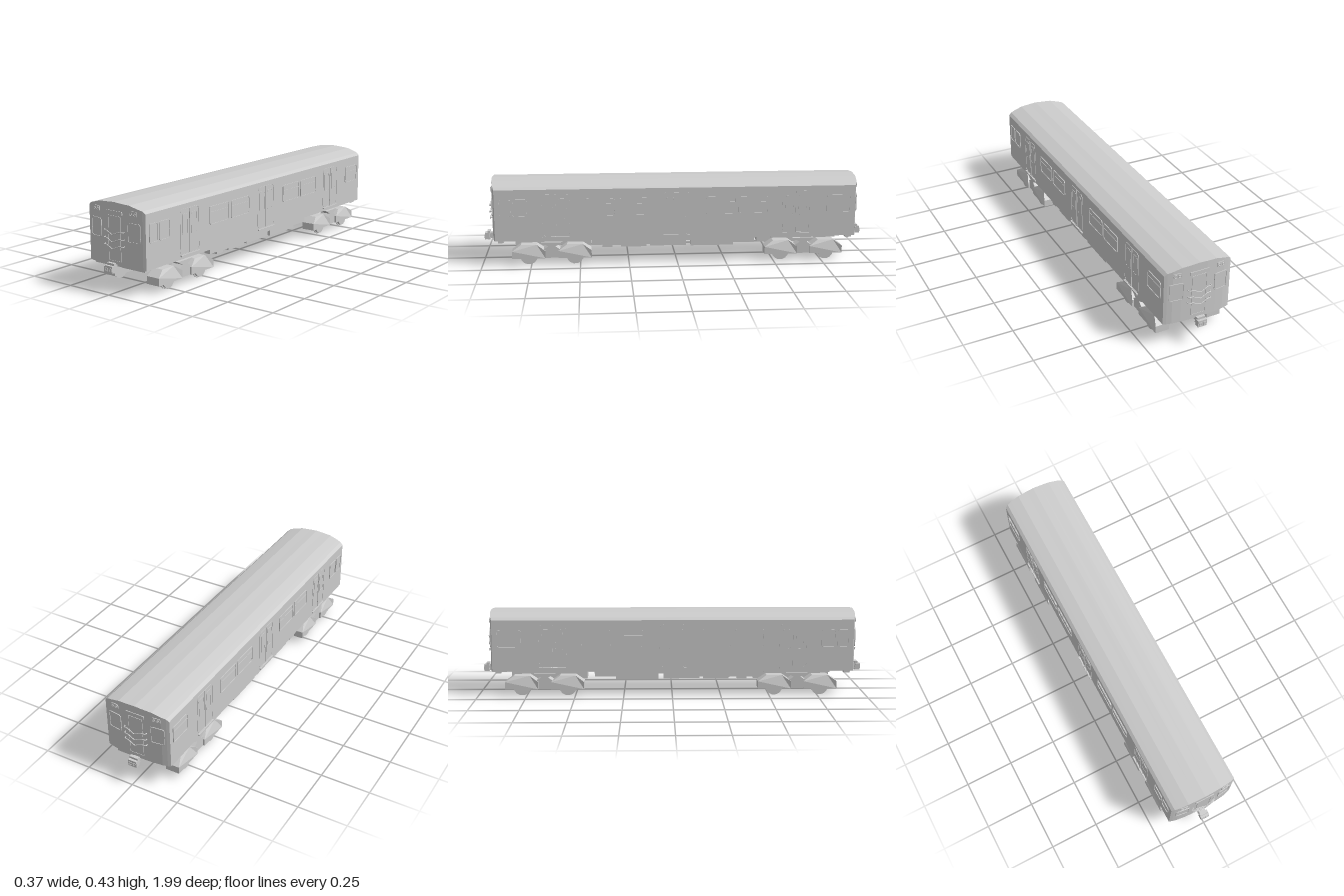
import * as THREE from 'three';

const material = new THREE.MeshStandardMaterial({ color: 0xcccccc, flatShading: true, side: THREE.DoubleSide });

function part(name, geometry, parent, x = 0, y = 0, z = 0) {
  const mesh = new THREE.Mesh(geometry, material);
  mesh.name = name;
  mesh.position.set(x, y, z);
  parent.add(mesh);
  return mesh;
}
const box = (name, w, h, d, parent, x, y, z) => part(name, new THREE.BoxGeometry(w, h, d), parent, x, y, z);

function group(name, parent) {
  const g = new THREE.Group();
  g.name = name;
  parent.add(g);
  return g;
}

// Rounded rectangle centred on the origin
function roundRect(w, h, r, Type = THREE.Shape) {
  const s = new Type(), a = w / 2, b = h / 2, H = Math.PI / 2;
  s.absarc(a - r, b - r, r, 0, H);
  s.absarc(-a + r, b - r, r, H, 2 * H);
  s.absarc(-a + r, -b + r, r, 2 * H, 3 * H);
  s.absarc(a - r, -b + r, r, 3 * H, 4 * H);
  s.closePath();
  return s;
}
const extrude = (shape, depth) => new THREE.ExtrudeGeometry(shape, { depth, bevelEnabled: false, curveSegments: 3 });

// Raised rim with a thin pane inside, facing +z
function framed(name, w, h, parent, x, y, z = 0, rim = 0.004, depth = 0.004) {
  const g = group(name, parent);
  g.position.set(x, y, z);
  const shape = roundRect(w, h, 0.012);
  shape.holes.push(roundRect(w - 2 * rim, h - 2 * rim, 0.009, THREE.Path));
  part('rim', extrude(shape, depth), g);
  box('pane', w - rim, h - rim, 0.002, g, 0, 0, 0);
  return g;
}

// Car shell from columns across the width: [x, roof height, end distance]
function shellGeometry() {
  const half = [[0, 0.433, 0.947], [0.04, 0.43, 0.946], [0.09, 0.427, 0.943], [0.135, 0.415, 0.938],
    [0.16, 0.408, 0.932], [0.175, 0.395, 0.927]];
  const cols = [...half.slice(1).reverse().map(([x, y, z]) => [-x, y, z]), ...half];
  const pos = [], floor = 0.13;
  const quad = (a, b, c, d) => pos.push(...a, ...b, ...c, ...a, ...c, ...d);
  const ring = ([x, y, z]) => [[x, floor, z], [x, y, z], [x, y, -z], [x, floor, -z]];
  for (let i = 0; i < cols.length - 1; i++) {
    const p = ring(cols[i]), q = ring(cols[i + 1]);
    for (let k = 0; k < 4; k++) quad(p[k], q[k], q[(k + 1) % 4], p[(k + 1) % 4]);
  }
  const l = ring(cols[0]), r = ring(cols[cols.length - 1]);
  quad(l[0], l[1], l[2], l[3]);
  quad(r[3], r[2], r[1], r[0]);
  const g = new THREE.BufferGeometry();
  g.setAttribute('position', new THREE.Float32BufferAttribute(pos, 3));
  g.computeVertexNormals();
  return g;
}

// Windows and sliding doors of one side, s = +1 or -1
function buildSide(s, parent) {
  const side = group(s > 0 ? 'leftSide' : 'rightSide', parent);
  side.position.x = 0.175 * s;
  side.rotation.y = s * Math.PI / 2;
  const at = z => -s * z;
  for (const z of [0.392, 0.222, -0.228, -0.395, -0.84]) {
    const w = z < -0.8 ? 0.125 : 0.152;
    const g = framed('sideWindow', w, 0.092, side, at(z), 0.3);
    box('sashBar', w - 0.006, 0.004, 0.004, g, 0, 0.016, 0.001);
  }
  framed('cabSideWindow', 0.06, 0.092, side, at(0.875), 0.3);
  framed('cabSideWindow', 0.075, 0.092, side, at(0.8), 0.3);
  for (const z of [0.618, 0, -0.618]) {
    const door = group('slidingDoor', side);
    door.position.x = at(z);
    const outline = roundRect(0.142, 0.222, 0.022);
    outline.holes.push(roundRect(0.136, 0.216, 0.019, THREE.Path));
    part('doorFrame', extrude(outline, 0.002), door, 0, 0.261, 0);
    box('centreSeal', 0.005, 0.216, 0.005, door, 0, 0.261, 0.001);
    box('doorSill', 0.138, 0.007, 0.012, door, 0, 0.147, 0.002);
    for (const e of [-1, 1]) framed('doorWindow', 0.042, 0.105, door, e * 0.034, 0.295, 0, 0.003, 0.002);
  }
}

// Everything mounted on one end of the car, facing +z
function buildEnd(name, parent) {
  const end = group(name, parent);
  const outline = roundRect(0.078, 0.216, 0.003);
  outline.holes.push(roundRect(0.072, 0.21, 0.002, THREE.Path));
  part('endDoorFrame', extrude(outline, 0.004), end, 0, 0.26, 0.945);
  box('endDoor', 0.074, 0.212, 0.004, end, 0, 0.26, 0.945);
  part('destinationPanel', extrude(roundRect(0.102, 0.02, 0.005), 0.006), end, 0, 0.382, 0.944);
  for (const s of [-1, 1]) {
    const w = framed('cabWindow', 0.072, 0.092, end, s * 0.116, 0.3, 0.94);
    w.rotation.y = s * 0.13;
    const lamps = group('headlightCluster', end);
    lamps.position.set(s * 0.113, 0.389, 0.938);
    lamps.rotation.y = s * 0.13;
    part('lampPlate', extrude(roundRect(0.042, 0.026, 0.006), 0.006), lamps);
    for (const e of [-1, 1]) {
      part('lampRing', new THREE.TorusGeometry(0.0065, 0.0015, 4, 10), lamps, e * 0.01, 0, 0.007);
      const lens = part('lens', new THREE.CylinderGeometry(0.004, 0.004, 0.004, 10), lamps, e * 0.01, 0, 0.006);
      lens.rotation.x = Math.PI / 2;
    }
  }
  // Safety bars bent into a shallow V
  for (const y of [0.297, 0.262, 0.229]) {
    const pts = [[-0.06, 0, 0.943], [-0.058, 0, 0.957], [-0.038, 0, 0.959], [0, -0.016, 0.963],
      [0.038, 0, 0.959], [0.058, 0, 0.957], [0.06, 0, 0.943]].map(p => new THREE.Vector3(...p));
    const path = new THREE.CurvePath();
    for (let i = 0; i < pts.length - 1; i++) path.add(new THREE.LineCurve3(pts[i], pts[i + 1]));
    part('safetyBar', new THREE.TubeGeometry(path, 24, 0.0026, 6), end, 0, y, 0);
  }
  // End sill and coupler
  box('endSill', 0.31, 0.014, 0.03, end, 0, 0.123, 0.9);
  box('couplerShank', 0.02, 0.02, 0.09, end, 0, 0.123, 0.93);
  box('couplerCollar', 0.034, 0.03, 0.012, end, 0, 0.125, 0.957);
  box('couplerHead', 0.046, 0.034, 0.024, end, 0, 0.123, 0.98);
  box('couplerLatch', 0.044, 0.012, 0.015, end, 0, 0.145, 0.972);
  box('couplerFoot', 0.044, 0.01, 0.015, end, 0, 0.11, 0.972);
  for (const e of [-1, 1]) {
    const socket = roundRect(0.016, 0.017, 0.002);
    socket.holes.push(roundRect(0.009, 0.01, 0.001, THREE.Path));
    part('couplerSocket', extrude(socket, 0.004), end, e * 0.011, 0.121, 0.991);
  }
  return end;
}

// Extrude a (z, y) outline inward from x = outer
function sideways(points, outer, width) {
  const g = extrude(new THREE.Shape(points.map(p => new THREE.Vector2(...p))), width);
  return g.rotateY(-Math.PI / 2).translate(outer, 0, 0);
}

// One side of a bogie: two faceted axle covers, a centre link and two wheels
function buildBogieSide(parent) {
  const g = group('bogieSide', parent);
  const cover = sideways([[-0.085, 0.037], [0.085, 0.037], [0.085, 0.075], [0.04, 0.105], [-0.04, 0.105], [-0.085, 0.075]], 0.175, 0.073);
  const p = cover.attributes.position;
  for (let i = 0; i < p.count; i++) if (p.getX(i) > 0.15 && p.getY(i) > 0.1) p.setX(i, 0.158);
  cover.computeVertexNormals();
  for (const z of [-0.118, 0.118]) {
    part('axleCover', cover, g, 0, 0, z);
    const tread = part('wheelTread', new THREE.CylinderGeometry(0.039, 0.039, 0.016, 14), g, 0.154, 0.045, z);
    const flange = part('wheelFlange', new THREE.CylinderGeometry(0.045, 0.045, 0.005, 14), g, 0.1475, 0.045, z);
    tread.rotation.z = flange.rotation.z = Math.PI / 2;
  }
  part('centreLink', sideways([[-0.05, 0.037], [0.05, 0.037], [0.05, 0.075], [0.018, 0.097], [0.055, 0.118],
    [-0.055, 0.118], [-0.018, 0.097], [-0.05, 0.075]], 0.165, 0.063), g);
  box('bolsterRail', 0.018, 0.013, 0.34, g, 0.139, 0.1245, 0);
  return g;
}

export function createModel() {
  const model = new THREE.Group();
  model.name = 'railCar';
  const body = group('body', model);
  body.position.z = 0.004;
  part('shell', shellGeometry(), body);
  for (const s of [1, -1]) buildSide(s, body);
  buildEnd('frontEnd', body);
  buildEnd('backEnd', body).rotation.y = Math.PI;

  for (const z of [0.645, -0.657]) {
    const bogie = group('bogie', model);
    bogie.position.z = z;
    buildBogieSide(bogie);
    buildBogieSide(bogie).rotation.y = Math.PI;
  }

  // Underfloor equipment boxes along both sides: [z start, z end, bottom]
  const boxes = [[0.44, 0.385, 0.097], [0.385, 0.335, 0.085], [0.335, 0.29, 0.095], [0.29, 0.16, 0.085],
    [0.16, 0.14, 0.097], [0.14, -0.045, 0.088], [-0.045, -0.07, 0.113], [-0.07, -0.29, 0.085], [-0.29, -0.4, 0.098]];
  const under = group('underfloorEquipment', model);
  for (const s of [-1, 1])
    for (const [a, b, y] of boxes) box('equipmentBox', 0.035, 0.132 - y, a - b, under, s * 0.133, (0.132 + y) / 2, (a + b) / 2);
  return model;
}
